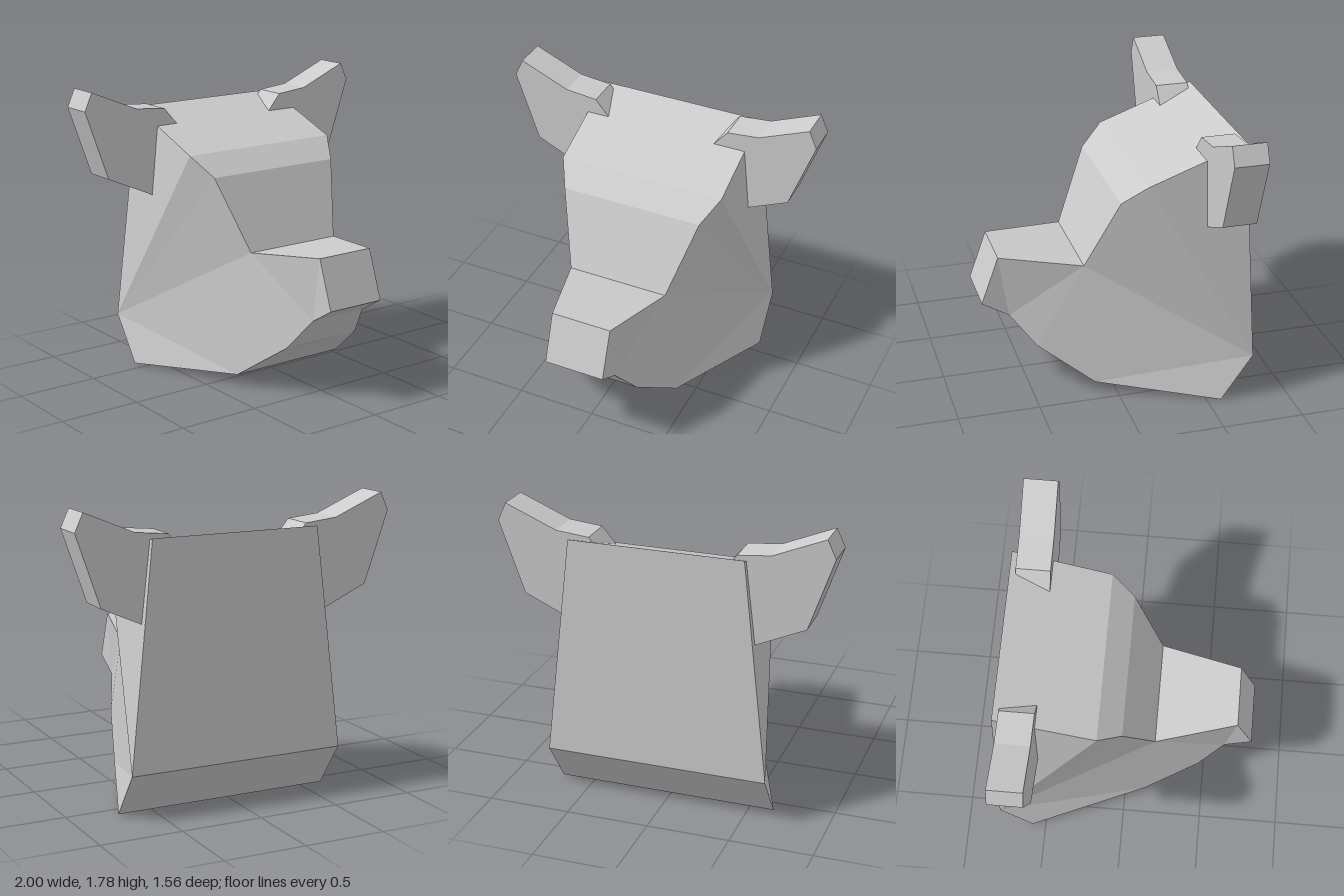
import * as THREE from 'three';

const material = new THREE.MeshStandardMaterial({ color: 0xcccccc, flatShading: true });
const HEAD_X = 0.03; // the head sits slightly off the ears' centre line

// Head outline from the top of the back, over the snout and under the jaw: [z, y, half width]
const outline = [
  [-0.74, 1.615, 0.525], // 0 crown, back
  [-0.15, 1.40, 0.525],  // 1 crown, front
  [-0.01, 1.28, 0.445],  // 2 brow
  [0.18, 0.84, 0.317],   // 3 snout root
  [0.675, 0.895, 0.188], // 4 snout top
  [0.78, 0.60, 0.188],   // 5 snout tip
  [0.615, 0.50, 0.188],  // 6 lip
  [0.46, 0.305, 0.265],  // 7 chin
  [0.13, 0.07, 0.387],   // 8 jaw
  [-0.585, 0, 0.676],    // 9 jaw, back
  [-0.78, 0.28, 0.676],  // 10 neck
];

// Triangles of one cheek, as outline indices
const cheek = [
  [10, 0, 1], [10, 1, 2], [10, 2, 3], [10, 3, 8], [10, 8, 9],
  [3, 7, 8], [3, 6, 7], [3, 4, 6], [4, 5, 6],
];

function makeHead() {
  const positions = [];
  const add = (i, side) => {
    const [z, y, w] = outline[i];
    positions.push(HEAD_X + side * w, y, z);
  };
  // Band running around the outline
  outline.forEach((_, i) => {
    const j = (i + 1) % outline.length;
    add(i, 1); add(i, -1); add(j, -1);
    add(i, 1); add(j, -1); add(j, 1);
  });
  // Mirrored cheeks
  for (const [a, b, c] of cheek) {
    add(a, 1); add(b, 1); add(c, 1);
    add(a, -1); add(c, -1); add(b, -1);
  }
  const geometry = new THREE.BufferGeometry();
  geometry.setAttribute('position', new THREE.Float32BufferAttribute(positions, 3));
  geometry.computeVertexNormals();
  const head = new THREE.Mesh(geometry, material);
  head.name = 'head';
  return head;
}

// Flat slab ear, its root sunk into the head
function makeEar(side) {
  const points = [
    [0.28, 1.44], [0.44, 1.63], [0.64, 1.65], [0.95, 1.78],
    [1.0, 1.67], [0.85, 1.24], [0.45, 1.06],
  ].map(([x, y]) => new THREE.Vector2(side * x, y));
  const geometry = new THREE.ExtrudeGeometry(new THREE.Shape(points), { depth: 0.205, bevelEnabled: false });
  geometry.translate(0, 0, -0.705);
  const ear = new THREE.Mesh(geometry, material);
  ear.name = side > 0 ? 'leftEar' : 'rightEar';
  return ear;
}

export function createModel() {
  const model = new THREE.Group();
  model.name = 'animalHead';
  model.add(makeHead(), makeEar(1), makeEar(-1));
  return model;
}
